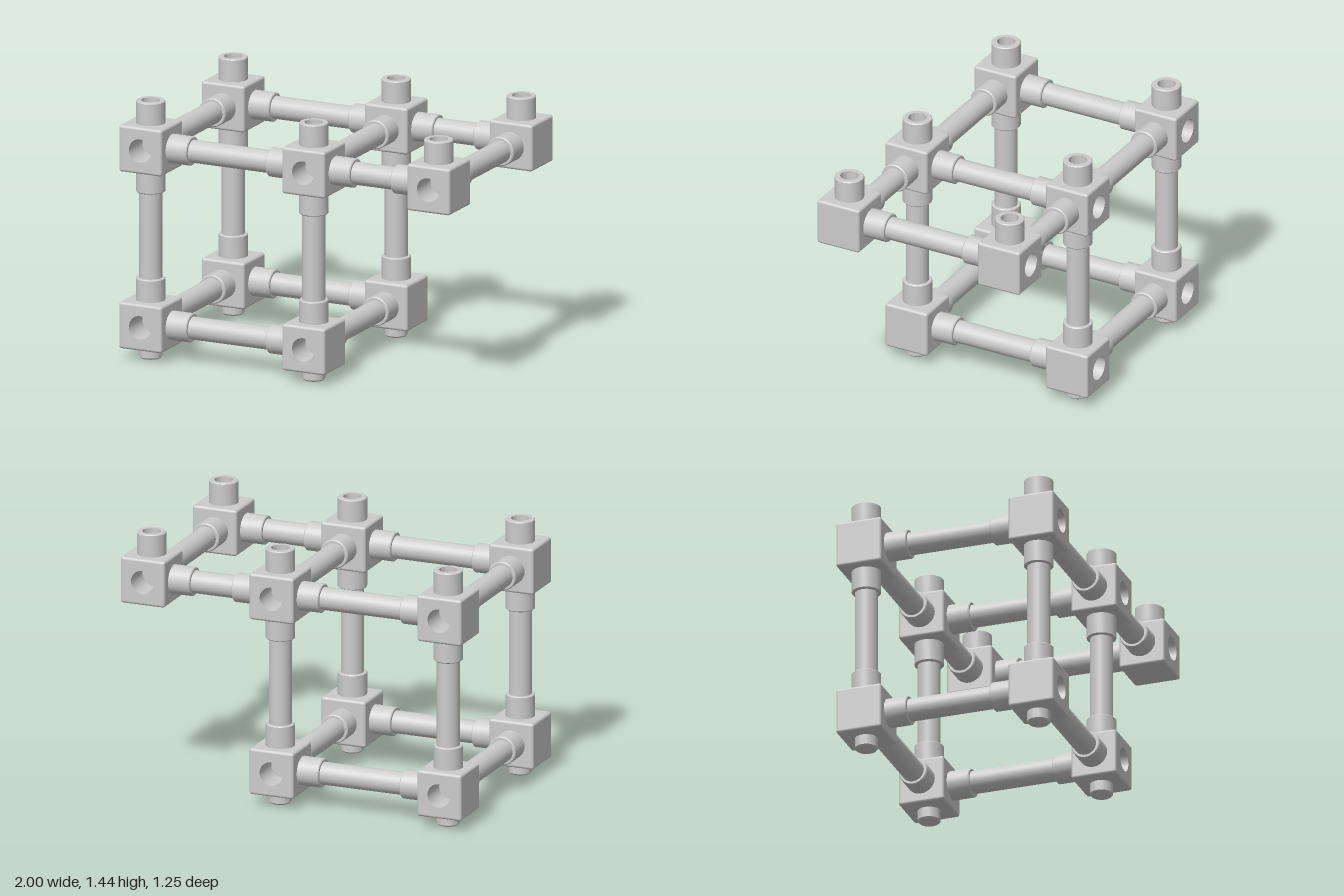
import * as THREE from 'three';
import { toCreasedNormals } from 'three/addons/utils/BufferGeometryUtils.js';
import { RoundedBoxGeometry } from 'three/addons/geometries/RoundedBoxGeometry.js';

const H = 0.13;        // half size of a corner block
const EDGE = 0.015;    // rounding of the block edges
const SOCKET_R = 0.08, SOCKET_L = 0.125;
const ROD_R = 0.0625, BORE_R = 0.066, TOP_BORE_R = 0.05;
const XS = [-0.87, 0.115, 0.87], YS = [0.195, 1.185], Z = 0.495;

const material = new THREE.MeshStandardMaterial({ color: 0xcccccc });
const UP = new THREE.Vector3(0, 1, 0);

// Turned part from [radius, height] pairs
function turned(profile) {
  const points = profile.map(([r, y]) => new THREE.Vector2(r, y));
  return toCreasedNormals(new THREE.LatheGeometry(points, 40), 0.5);
}

// Rounded block whose flat +z face is left open
function openBlock() {
  const box = new RoundedBoxGeometry(2 * H, 2 * H, 2 * H, 3, EDGE);
  const source = box.index ? box.toNonIndexed() : box;
  const pos = source.attributes.position, nor = source.attributes.normal;
  const p = [], n = [];
  for (let i = 0; i < pos.count; i += 3) {
    if ([0, 1, 2].every((k) => pos.getZ(i + k) > H - 1e-4)) continue;
    for (let k = i; k < i + 3; k++) {
      p.push(pos.getX(k), pos.getY(k), pos.getZ(k));
      n.push(nor.getX(k), nor.getY(k), nor.getZ(k));
    }
  }
  const g = new THREE.BufferGeometry();
  g.setAttribute('position', new THREE.Float32BufferAttribute(p, 3));
  g.setAttribute('normal', new THREE.Float32BufferAttribute(n, 3));
  return g;
}

// Flat face with a round hole
function holedFace() {
  const s = H - EDGE;
  const shape = new THREE.Shape([
    new THREE.Vector2(-s, -s), new THREE.Vector2(s, -s),
    new THREE.Vector2(s, s), new THREE.Vector2(-s, s),
  ]);
  shape.holes.push(new THREE.Path().absarc(0, 0, BORE_R, 0, Math.PI * 2, true));
  return new THREE.ShapeGeometry(shape, 20).translate(0, 0, H);
}

export function createModel() {
  const model = new THREE.Group();
  const c = 0.005;

  const blockGeo = openBlock();
  const faceGeo = holedFace();
  const boreGeo = turned([[BORE_R, H], [BORE_R, H - 0.16], [0, H - 0.16]]).rotateX(Math.PI / 2);
  const socketGeo = turned([
    [SOCKET_R, H - 0.01], [SOCKET_R, H + SOCKET_L - c],
    [SOCKET_R - c, H + SOCKET_L], [ROD_R - 0.005, H + SOCKET_L],
  ]);
  const topGeo = turned([
    [SOCKET_R, H - 0.01], [SOCKET_R, H + SOCKET_L - c], [SOCKET_R - c, H + SOCKET_L],
    [TOP_BORE_R, H + SOCKET_L], [TOP_BORE_R, H + 0.003], [0, H + 0.003],
  ]);
  const footGeo = turned([
    [0, -YS[0]], [ROD_R - 0.008, -YS[0]], [ROD_R, 0.008 - YS[0]], [ROD_R, 0.01 - H],
  ]);

  const add = (parent, name, geometry) => {
    const mesh = new THREE.Mesh(geometry, material);
    mesh.name = name;
    parent.add(mesh);
    return mesh;
  };

  // Corner blocks with an outward bore, plus foot pegs or open top sockets
  function corner(x, y, z) {
    const group = new THREE.Group();
    group.name = 'cornerBlock';
    group.position.set(x, y, z);
    const block = new THREE.Group();
    block.name = 'boredBlock';
    block.rotation.y = z < 0 ? Math.PI : 0;
    group.add(block);
    add(block, 'blockBody', blockGeo);
    add(block, 'holedFace', faceGeo);
    add(block, 'bore', boreGeo);
    if (y === YS[0]) add(group, 'footPeg', footGeo);
    else add(group, 'topSocket', topGeo);
    model.add(group);
  }

  // Rod between two blocks, with a socket collar at each end
  function strut(name, a, b) {
    const from = new THREE.Vector3(...a), to = new THREE.Vector3(...b);
    const length = from.distanceTo(to);
    const group = new THREE.Group();
    group.name = name;
    group.position.copy(from);
    group.quaternion.setFromUnitVectors(UP, to.sub(from).normalize());
    const rod = add(group, 'rod',
      new THREE.CylinderGeometry(ROD_R, ROD_R, length - 2 * H, 40, 1, true));
    rod.position.y = length / 2;
    add(group, 'startSocket', socketGeo);
    const end = add(group, 'endSocket', socketGeo);
    end.position.y = length;
    end.rotation.x = Math.PI;
    model.add(group);
  }

  // Lower level has two columns, upper level overhangs with a third
  YS.forEach((y, level) => {
    const columns = XS.slice(0, level + 2);
    columns.forEach((x, i) => {
      strut('crossStrut', [x, y, -Z], [x, y, Z]);
      for (const z of [-Z, Z]) {
        corner(x, y, z);
        if (i > 0) strut('longStrut', [columns[i - 1], y, z], [x, y, z]);
        if (level === 0) strut('uprightStrut', [x, YS[0], z], [x, YS[1], z]);
      }
    });
  });
  return model;
}
